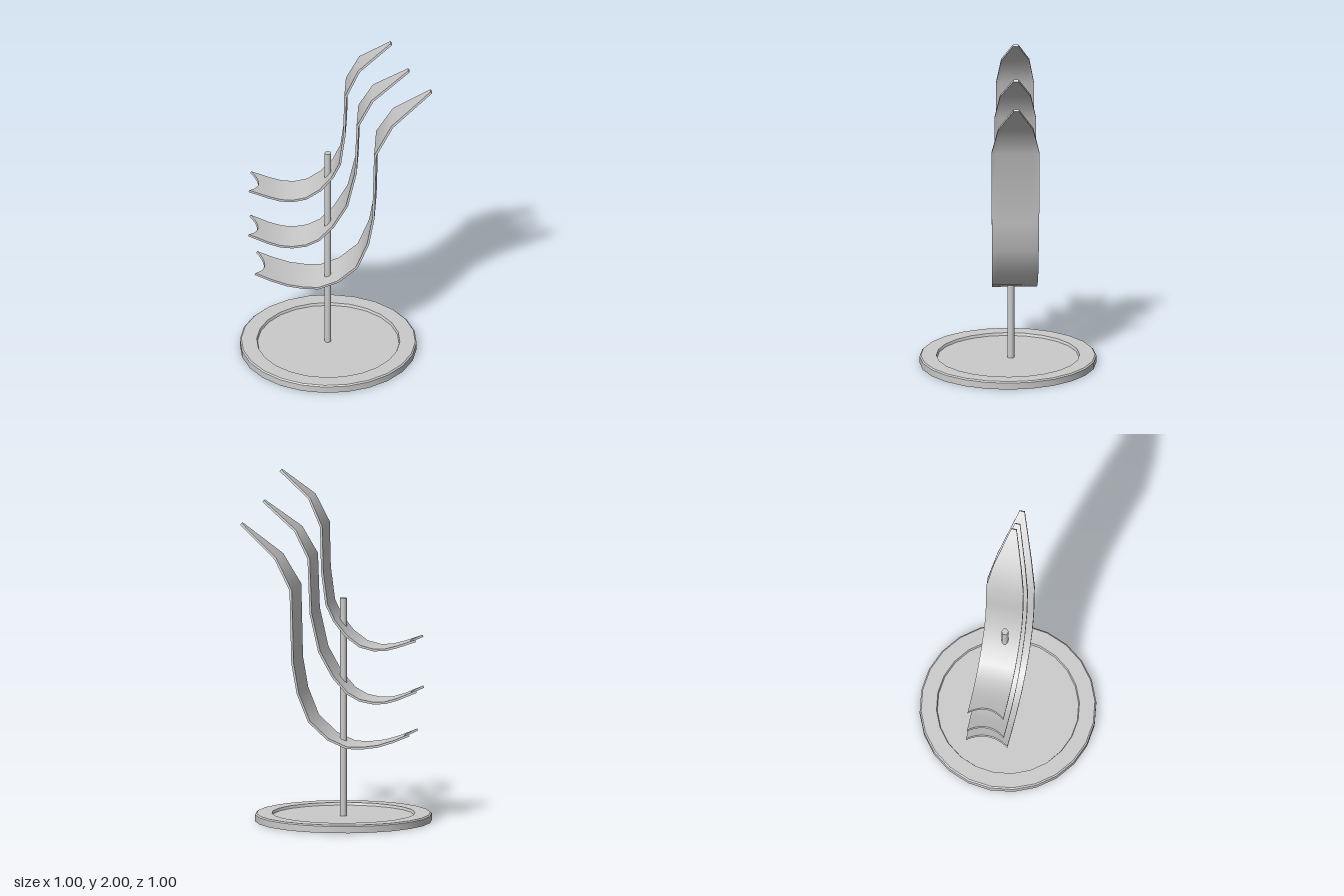
import * as THREE from 'three';
import { toCreasedNormals } from 'three/addons/utils/BufferGeometryUtils.js';

const COLS = 10, THICK = 0.013, NOTCH = 0.048, TIP = 0.015;

// Profile points [along, height], running from the notched tail to the pointed tip.
// 'shoulder' is the index of the point where the blade starts to taper.
const BLADES = [
  { name: 'lowerBlade', tailHalf: 0.119, midHalf: 0.136, shoulder: 9, profile: [
    [-0.414, 0.515], [-0.32, 0.475], [-0.23, 0.446], [-0.14, 0.433], [-0.05, 0.433], [0.06, 0.48],
    [0.17, 0.58], [0.235, 0.74], [0.266, 0.915], [0.276, 1.33], [0.37, 1.5], [0.585, 1.68]] },
  { name: 'middleBlade', tailHalf: 0.106, midHalf: 0.117, shoulder: 9, profile: [
    [-0.452, 0.763], [-0.34, 0.715], [-0.27, 0.694], [-0.2, 0.69], [-0.12, 0.705], [-0.046, 0.745],
    [0.035, 0.836], [0.115, 0.98], [0.165, 1.2], [0.176, 1.51], [0.257, 1.66], [0.457, 1.815]] },
  { name: 'upperBlade', tailHalf: 0.103, midHalf: 0.107, shoulder: 9, profile: [
    [-0.448, 1.053], [-0.34, 1.015], [-0.27, 0.996], [-0.2, 0.993], [-0.12, 1.013], [-0.04, 1.07],
    [0.03, 1.155], [0.075, 1.25], [0.1, 1.44], [0.106, 1.695], [0.18, 1.85], [0.358, 1.993]] },
];

// Sweep a thin flat strip along the profile, with a curved notch cut in its tail
function bladeGeometry({ profile, tailHalf, midHalf, shoulder }) {
  const pts = profile.map(([x, y]) => new THREE.Vector2(x, y));
  const last = pts.length - 1, n = COLS + 1, ring = 2 * n;
  const pos = [], idx = [];

  pts.forEach((p, i) => {
    const dir = pts[Math.min(i + 1, last)].clone().sub(pts[Math.max(i - 1, 0)]).normalize();
    const half = i <= shoulder
      ? THREE.MathUtils.lerp(tailHalf, midHalf, i / shoulder)
      : THREE.MathUtils.mapLinear(p.x, pts[shoulder].x, pts[last].x, midHalf, TIP);
    for (let k = 0; k < ring; k++) {
      const upper = k < n;
      const s = (upper ? k : ring - 1 - k) / COLS * 2 - 1;
      const c = p.clone();
      if (i === 0) c.lerp(pts[1], NOTCH * (1 - s * s) / (pts[1].x - p.x));
      const t = upper ? THICK : 0;
      pos.push(c.x - dir.y * t, c.y + dir.x * t, s * half);
    }
  });

  const quad = (a, b, c, d) => idx.push(a, b, c, a, c, d);
  for (let i = 0; i < last; i++) {
    for (let k = 0; k < ring; k++) {
      const a = i * ring + k, b = i * ring + (k + 1) % ring;
      quad(a, b, b + ring, a + ring);
    }
  }
  // Tail and tip end faces
  const end = last * ring;
  for (let k = 0; k < COLS; k++) {
    const low = ring - 1 - k;
    quad(k, low, low - 1, k + 1);
    quad(end + k, end + k + 1, end + low - 1, end + low);
  }

  const geo = new THREE.BufferGeometry();
  geo.setAttribute('position', new THREE.Float32BufferAttribute(pos, 3));
  geo.setIndex(idx);
  return toCreasedNormals(geo, 0.7);
}

export function createModel() {
  const model = new THREE.Group();
  const material = new THREE.MeshStandardMaterial({ color: 0xcccccc });
  const add = (parent, name, geometry) => {
    const mesh = new THREE.Mesh(geometry, material);
    mesh.name = name;
    parent.add(mesh);
    return mesh;
  };

  // Round base with a shallow recessed top
  const outline = [[0, 0], [0.5, 0], [0.5, 0.038], [0.492, 0.045], [0.405, 0.045], [0.4, 0.03], [0, 0.03]]
    .map(([x, y]) => new THREE.Vector2(x, y));
  add(model, 'base', toCreasedNormals(new THREE.LatheGeometry(outline, 24), 0.5));

  // Upright post
  const post = add(model, 'post', new THREE.CylinderGeometry(0.019, 0.019, 1.245, 16));
  post.position.set(-0.011, 0.03 + 1.245 / 2, -0.013);

  // Three curved blades, stacked on the post and turned together
  const blades = new THREE.Group();
  blades.name = 'blades';
  blades.rotation.y = Math.PI / 6;
  model.add(blades);
  for (const blade of BLADES) {
    add(blades, blade.name, bladeGeometry(blade)).position.z = -0.038;
  }
  return model;
}
